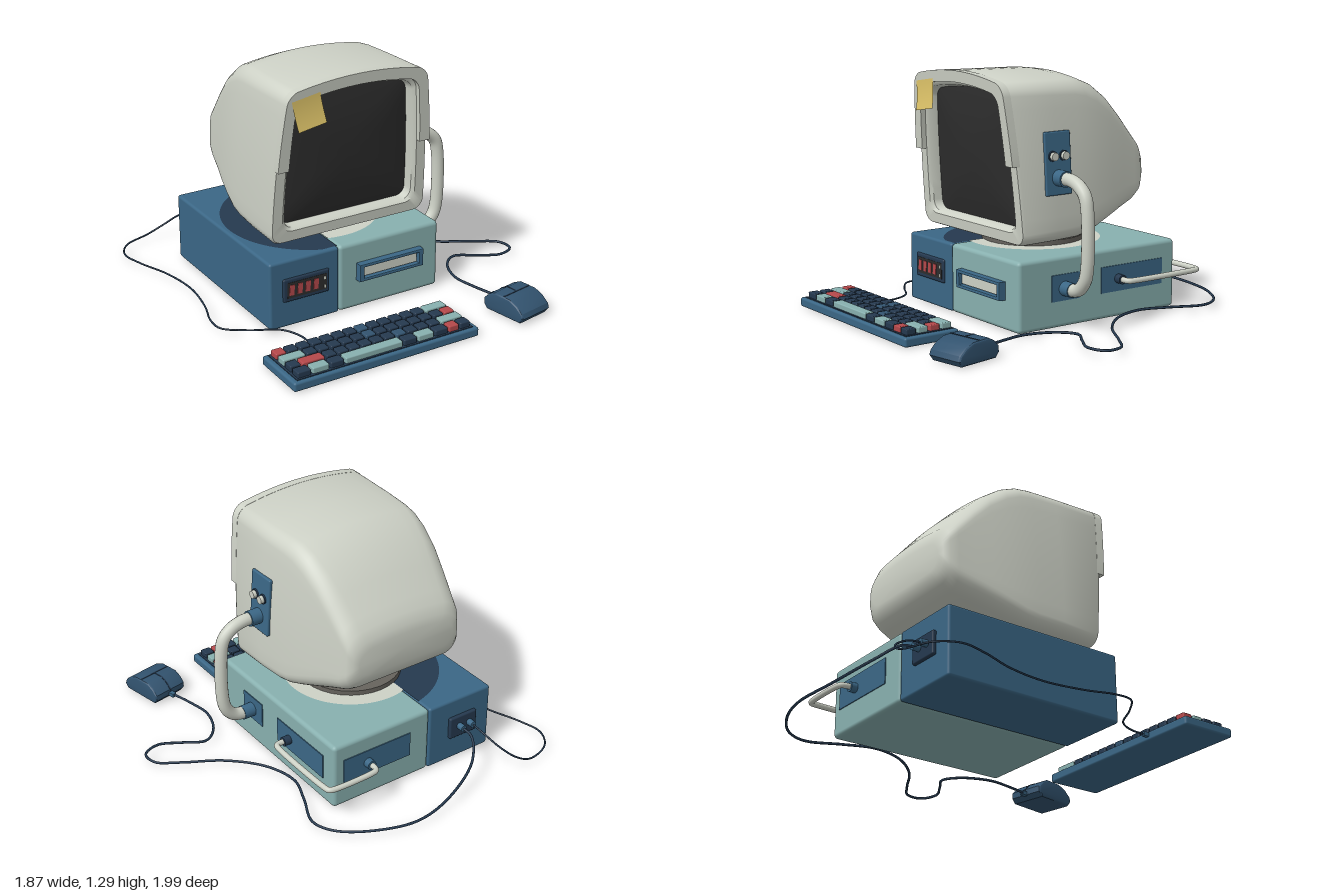
import * as THREE from 'three';
import { toCreasedNormals } from 'three/addons/utils/BufferGeometryUtils.js';
import { RoundedBoxGeometry } from 'three/addons/geometries/RoundedBoxGeometry.js';

const paint = (name, color, side = THREE.FrontSide) => {
  const m = new THREE.MeshStandardMaterial({ color, side });
  m.name = name;
  return m;
};
const cream = paint('cream plastic', 0xcdd1c6);
const blue = paint('blue plastic', 0x3b6786);
const teal = paint('teal plastic', 0x88b0af);
const navy = paint('navy plastic', 0x25394f);
const mouseBlue = paint('slate blue plastic', 0x32536f);
const glass = paint('dark glass', 0x2d2d2d);
const grey = paint('warm grey', 0x66635d);
const red = paint('red', 0xb5484b);
const yellow = paint('yellow paper', 0xdcc268, THREE.DoubleSide);

const CX = -0.155; // centre line of the monitor
const SPLIT = 0.845; // lower edge of the hood
const SLOPE = 0.085; // lean of the monitor front

// Rounded, slightly tapered and arched cross-section, counter-clockwise
function ring(hw, yb, yt, r, z, slope = 0) {
  const pts = [], raw = [];
  r = Math.min(r, hw, (yt - yb) / 2);
  for (let c = 0; c < 4; c++) {
    const sx = c === 0 || c === 1 ? 1 : -1, sy = c === 1 || c === 2 ? 1 : -1;
    for (let k = 0; k <= 7; k++) {
      const a = (c - 1 + k / 7) * Math.PI / 2;
      raw.push([sx * (hw - r) + r * Math.cos(a), (sy > 0 ? yt - r : yb + r) + r * Math.sin(a)]);
    }
  }
  raw.forEach((p, i) => {
    const q = raw[(i + 1) % raw.length], n = i % 8 === 7 ? 10 : 1;
    for (let k = 0; k < n; k++) {
      const x = p[0] + (q[0] - p[0]) * k / n, y = p[1] + (q[1] - p[1]) * k / n;
      const t = THREE.MathUtils.clamp((y - 0.44) / 0.85, 0, 1);
      const u = x / (hw || 1), v = (y - yb) / (yt - yb || 1);
      const Y = y - 0.045 * u * u * v * v * (hw / 0.457);
      pts.push(new THREE.Vector3(CX + x * (1 - 0.13 * t * t), Y, z + slope * (Y - 0.85)));
    }
  });
  return pts;
}

function loft(rings, crease) {
  const n = rings[0].length, index = [];
  for (let i = 0; i < rings.length - 1; i++)
    for (let j = 0; j < n; j++) {
      const a = i * n + j, b = i * n + (j + 1) % n;
      index.push(a, b, b + n, a, b + n, a + n);
    }
  const g = new THREE.BufferGeometry().setFromPoints(rings.flat());
  g.setIndex(index);
  return toCreasedNormals(g, crease);
}

export function createModel() {
  const model = new THREE.Group();
  const add = (name, geo, mat, x = 0, y = 0, z = 0, parent = model) => {
    const m = new THREE.Mesh(geo, mat);
    m.name = name;
    m.position.set(x, y, z);
    parent.add(m);
    return m;
  };
  // Box given by its limits; r rounds the edges
  const box = (name, mat, x0, x1, y0, y1, z0, z1, r = 0) => add(name,
    r ? new RoundedBoxGeometry(x1 - x0, y1 - y0, z1 - z0, 3, r) : new THREE.BoxGeometry(x1 - x0, y1 - y0, z1 - z0),
    mat, (x0 + x1) / 2, (y0 + y1) / 2, (z0 + z1) / 2);
  const cyl = (name, mat, r, h, x, y, z, axis = 'y') => {
    const m = add(name, new THREE.CylinderGeometry(r, r, h, 32), mat, x, y, z);
    if (axis === 'x') m.rotation.z = -Math.PI / 2;
    if (axis === 'z') m.rotation.x = Math.PI / 2;
    return m;
  };
  const tube = (name, mat, r, pts, steps = 60, tension = 0.5) => add(name, new THREE.TubeGeometry(
    new THREE.CatmullRomCurve3(pts.map(p => new THREE.Vector3(...p)), false, tension === 0.5 ? 'centripetal' : 'catmullrom', tension),
    steps, r, r > 0.01 ? 16 : 8), mat);

  // Computer case in two halves
  box('caseBlueHalf', blue, -0.66, -0.257, 0.006, 0.373, -0.64, 0.385, 0.014);
  box('caseTealHalf', teal, -0.257, 0.35, 0.006, 0.376, -0.64, 0.387, 0.022);

  // Painted rings under the swivel stand
  const patch = (name, mat, r, x0, x1, y) => {
    const s = new THREE.Shape();
    for (let i = 0; i < 96; i++) {
      const a = i / 96 * Math.PI * 2;
      s[i ? 'lineTo' : 'moveTo'](THREE.MathUtils.clamp(CX + r * Math.cos(a), x0, x1), THREE.MathUtils.clamp(r * Math.sin(a), -0.44, 0.5));
    }
    const g = new THREE.ShapeGeometry(s);
    g.rotateX(-Math.PI / 2);
    add(name, g, mat, 0, y, -0.075);
  };
  patch('standRingNavy', navy, 0.48, -0.645, -0.258, 0.3745);
  patch('standRingCream', cream, 0.36, -0.256, 0.33, 0.3775);
  cyl('standDisc', grey, 0.275, 0.03, CX, 0.388, -0.075);
  cyl('standNeck', grey, 0.2, 0.09, CX, 0.43, -0.075);

  // Monitor shell, back to front, then into the screen opening
  const shell = [
    [0, 0.755, 0.755, 0, -0.562], [0.3, 0.67, 0.84, 0.08, -0.562], [0.335, 0.635, 0.88, 0.09, -0.553],
    [0.358, 0.595, 0.93, 0.09, -0.525], [0.368, 0.565, 0.98, 0.09, -0.48], [0.388, 0.535, 1.085, 0.09, -0.39],
    [0.41, 0.505, 1.175, 0.085, -0.3], [0.43, 0.47, 1.245, 0.08, -0.2], [0.441, 0.445, 1.277, 0.075, -0.12],
    [0.447, 0.437, 1.285, 0.07, -0.05], [0.455, 0.435, 1.288, 0.065, 0.1], [0.457, 0.433, 1.294, 0.062, 0.335, SLOPE],
    [0.45, 0.44, 1.288, 0.06, 0.35, SLOPE], [0.395, 0.495, 1.235, 0.06, 0.35, SLOPE],
    [0.378, 0.508, 1.216, 0.055, 0.335, SLOPE], [0.37, 0.515, 1.205, 0.05, 0.28, SLOPE],
  ].map(s => ring(...s));
  add('monitorShell', loft(shell, 0.7), cream);
  add('screen', loft([ring(0.374, 0.511, 1.209, 0.05, 0.285, SLOPE), ring(0.25, 0.63, 1.09, 0.08, 0.308, SLOPE),
    ring(0.12, 0.75, 0.97, 0.08, 0.317, SLOPE), ring(0, 0.86, 0.86, 0, 0.32, SLOPE)], 1), glass);

  // Hood around the upper half of the screen
  const upper = (...a) => {
    const p = ring(...a).filter(v => v.y > SPLIT);
    return [new THREE.Vector2(p[0].x, SPLIT), ...p.map(v => new THREE.Vector2(v.x, v.y)), new THREE.Vector2(p[p.length - 1].x, SPLIT)];
  };
  const hoodShape = new THREE.Shape([...upper(0.458, 0.433, 1.295, 0.062, 0), ...upper(0.395, 0.495, 1.235, 0.06, 0).reverse()]);
  const hood = new THREE.ExtrudeGeometry(hoodShape, { depth: 0.046, bevelEnabled: false });
  const hp = hood.attributes.position;
  for (let i = 0; i < hp.count; i++) hp.setZ(i, hp.getZ(i) + 0.333 + SLOPE * (hp.getY(i) - 0.85));
  add('screenHood', toCreasedNormals(hood, 0.6), cream);

  // Sticky note, curling forward at the bottom
  const noteGeo = new THREE.PlaneGeometry(0.16, 0.157, 1, 8);
  const np = noteGeo.attributes.position;
  for (let i = 0; i < np.count; i++) np.setZ(i, 0.02 * ((0.08 - np.getY(i)) / 0.16) ** 2);
  noteGeo.computeVertexNormals();
  add('stickyNote', noteGeo, yellow, -0.444, 1.148, 0.412).rotation.z = 0.16;

  // Side panel with knobs, and the thick pipe down to the case
  add('monitorSidePanel', new RoundedBoxGeometry(0.03, 0.325, 0.165, 2, 0.008), blue, 0.282, 0.843, 0.098).rotation.z = 0.07;
  for (const z of [0.134, 0.065]) {
    cyl('knob', cream, 0.021, 0.03, 0.305, 0.882, z, 'x');
    cyl('knobCollar', navy, 0.027, 0.014, 0.294, 0.882, z, 'x');
  }
  cyl('pipeCollarTop', blue, 0.042, 0.075, 0.327, 0.77, 0.1, 'x');
  cyl('pipeCollarBottom', blue, 0.038, 0.075, 0.383, 0.208, 0.1, 'x');
  tube('pipe', cream, 0.034, [[0.34, 0.77, 0.1], [0.4, 0.77, 0.1], [0.465, 0.75, 0.1], [0.515, 0.705, 0.1], [0.535, 0.63, 0.1],
    [0.535, 0.34, 0.1], [0.515, 0.27, 0.1], [0.47, 0.222, 0.1], [0.41, 0.208, 0.1], [0.37, 0.208, 0.1]]);
  box('pipePanel', blue, 0.345, 0.355, 0.145, 0.283, 0.005, 0.182);

  // Thin rail around the rear corner
  box('railSidePanel', blue, 0.345, 0.355, 0.145, 0.283, -0.55, -0.138);
  box('railBackPanel', blue, -0.13, 0.29, 0.145, 0.283, -0.645, -0.635);
  cyl('railCollarSide', navy, 0.025, 0.045, 0.372, 0.212, -0.25, 'x');
  cyl('railCollarBack', blue, 0.026, 0.04, 0.14, 0.212, -0.66, 'z');
  tube('rail', cream, 0.015, [[0.37, 0.212, -0.25], [0.42, 0.212, -0.25], [0.437, 0.212, -0.258], [0.444, 0.212, -0.28],
    [0.444, 0.212, -0.69], [0.437, 0.212, -0.722], [0.41, 0.212, -0.732], [0.18, 0.212, -0.732],
    [0.15, 0.212, -0.724], [0.14, 0.212, -0.7], [0.14, 0.212, -0.66]], 100);

  // Counter display on the blue half
  box('displayFrame', navy, -0.587, -0.318, 0.147, 0.275, 0.37, 0.395, 0.01);
  box('displayWindow', glass, -0.565, -0.335, 0.168, 0.254, 0.39, 0.397);
  for (const x of [-0.54, -0.493, -0.447, -0.4]) {
    const bar = box('displayBar', red, x - 0.014, x + 0.014, 0.183, 0.24, 0.395, 0.4);
    bar.rotation.z = -0.08;
  }
  for (const y of [0.185, 0.232]) box('displayLight', cream, -0.354, -0.343, y - 0.008, y + 0.008, 0.395, 0.4);

  // Disk slot on the teal half
  const slot = new THREE.Shape();
  slot.moveTo(-0.195, -0.048).lineTo(0.195, -0.048).lineTo(0.195, 0.048).lineTo(-0.195, 0.048);
  const gap = new THREE.Path();
  gap.moveTo(-0.168, -0.03).lineTo(-0.168, 0.03).lineTo(0.168, 0.03).lineTo(0.168, -0.03);
  slot.holes.push(gap);
  add('slotFrame', new THREE.ExtrudeGeometry(slot, { depth: 0.045, bevelEnabled: true, bevelThickness: 0.006, bevelSize: 0.005, bevelOffset: -0.005, bevelSegments: 2 }), blue, 0.04, 0.212, 0.375);
  box('slotInside', navy, -0.13, 0.21, 0.18, 0.245, 0.38, 0.391);
  box('diskInSlot', cream, -0.122, 0.202, 0.187, 0.237, 0.38, 0.408);

  // Rear port plate, plugs and cables
  box('portPlate', navy, -0.56, -0.385, 0.145, 0.27, -0.66, -0.635, 0.008);
  for (const x of [-0.51, -0.445]) cyl('plug', blue, 0.018, 0.045, x, 0.212, -0.675, 'z');
  tube('keyboardCable', navy, 0.005, [[-0.51, 0.212, -0.68], [-0.515, 0.2, -0.76], [-0.56, 0.14, -0.86], [-0.63, 0.08, -0.91],
    [-0.72, 0.04, -0.922], [-0.87, 0.033, -0.87], [-0.935, 0.033, -0.76], [-0.91, 0.033, -0.62], [-0.84, 0.033, -0.42],
    [-0.81, 0.033, -0.2], [-0.84, 0.033, 0.02], [-0.885, 0.033, 0.17], [-0.88, 0.033, 0.27], [-0.77, 0.033, 0.36],
    [-0.63, 0.033, 0.44], [-0.58, 0.033, 0.54], [-0.575, 0.033, 0.66]], 140);
  tube('mouseCable', navy, 0.007, [[-0.445, 0.212, -0.68], [-0.445, 0.2, -0.76], [-0.37, 0.13, -0.86], [-0.15, 0.06, -0.955],
    [0.08, 0.036, -0.993], [0.3, 0.036, -0.935], [0.47, 0.036, -0.82], [0.52, 0.036, -0.7], [0.45, 0.036, -0.52],
    [0.4, 0.036, -0.36], [0.45, 0.036, -0.18], [0.6, 0.036, -0.01], [0.8, 0.036, 0.11], [0.91, 0.036, 0.19],
    [0.915, 0.036, 0.28], [0.82, 0.036, 0.318], [0.7, 0.036, 0.26], [0.59, 0.036, 0.203], [0.5, 0.036, 0.27],
    [0.447, 0.036, 0.42], [0.465, 0.036, 0.55], [0.507, 0.036, 0.71]], 180);
  box('keyboardCableSleeve', blue, -0.585, -0.565, 0.022, 0.044, 0.62, 0.66);

  // Keyboard: letter gives the key colour, number its width in units
  box('keyboardTray', blue, -0.855, 0.207, 0.003, 0.052, 0.65, 0.965, 0.012);
  box('keyBed', navy, -0.83, 0.182, 0.045, 0.056, 0.668, 0.945);
  const rep = (n, a) => Array(n).fill(a);
  const rows = [
    [['r', 1], ...rep(6, ['n', 1]), ['b', 1], ...rep(5, ['n', 1]), ['t', 2]],
    [['t', 2], ...rep(5, ['n', 1]), ['b', 1], ...rep(6, ['n', 1]), ['r', 1]],
    [['n', 1], ['r', 2], ...rep(6, ['n', 1]), ['b', 1], ...rep(3, ['n', 1]), ['t', 2]],
    [['n', 1.25], ['t', 1.5], ['n', 1.25], ['t', 5], ['n', 1.25], ['t', 1.5], ['n', 1.25], ['r', 1], ['n', 1]],
  ];
  const keyMats = { r: red, t: teal, n: navy, b: mouseBlue }, unit = 0.0667;
  rows.forEach((row, i) => {
    let x = -0.824;
    for (const [c, w] of row) {
      const z = 0.7 + i * 0.0688;
      box('key', keyMats[c], x + 0.005, x + w * unit - 0.005, 0.05, 0.085, z - 0.028, z + 0.028, 0.006);
      x += w * unit;
    }
  });

  // Mouse: side profile swept across its width
  const mouse = new THREE.Group();
  mouse.name = 'mouse';
  mouse.position.set(0.534, 0, 0.838);
  mouse.rotation.y = 0.19;
  model.add(mouse);
  const sweep = (name, pts, width, bevel, mat) => {
    const g = new THREE.ExtrudeGeometry(new THREE.Shape(pts.map(p => new THREE.Vector2(...p))), {
      depth: width - 2 * bevel, bevelEnabled: bevel > 0, bevelThickness: bevel, bevelSize: bevel, bevelOffset: -bevel, bevelSegments: 3 });
    g.translate(0, 0, bevel - width / 2);
    g.rotateY(Math.PI / 2);
    add(name, toCreasedNormals(g, 0.5), mat, 0, 0, 0, mouse);
  };
  sweep('mouseBody', [[-0.115, 0.004], [0.11, 0.004], [0.132, 0.03], [0.132, 0.062], [0.1, 0.094], [0.06, 0.114], [-0.04, 0.112], [-0.09, 0.092], [-0.128, 0.06], [-0.138, 0.034]], 0.212, 0.014, mouseBlue);
  sweep('mouseButtonSplit', [[0, 0.03], [0.13, 0.03], [0.135, 0.062], [0.102, 0.096], [0.061, 0.1155], [0, 0.1148]], 0.008, 0, navy);
  sweep('mouseButtonSeam', [[-0.004, 0.03], [0.004, 0.03], [0.004, 0.1148], [-0.004, 0.1148]], 0.19, 0, navy);
  add('mouseCableSleeve', new THREE.BoxGeometry(0.025, 0.022, 0.04), blue, 0, 0.036, -0.145, mouse);

  return model;
}
